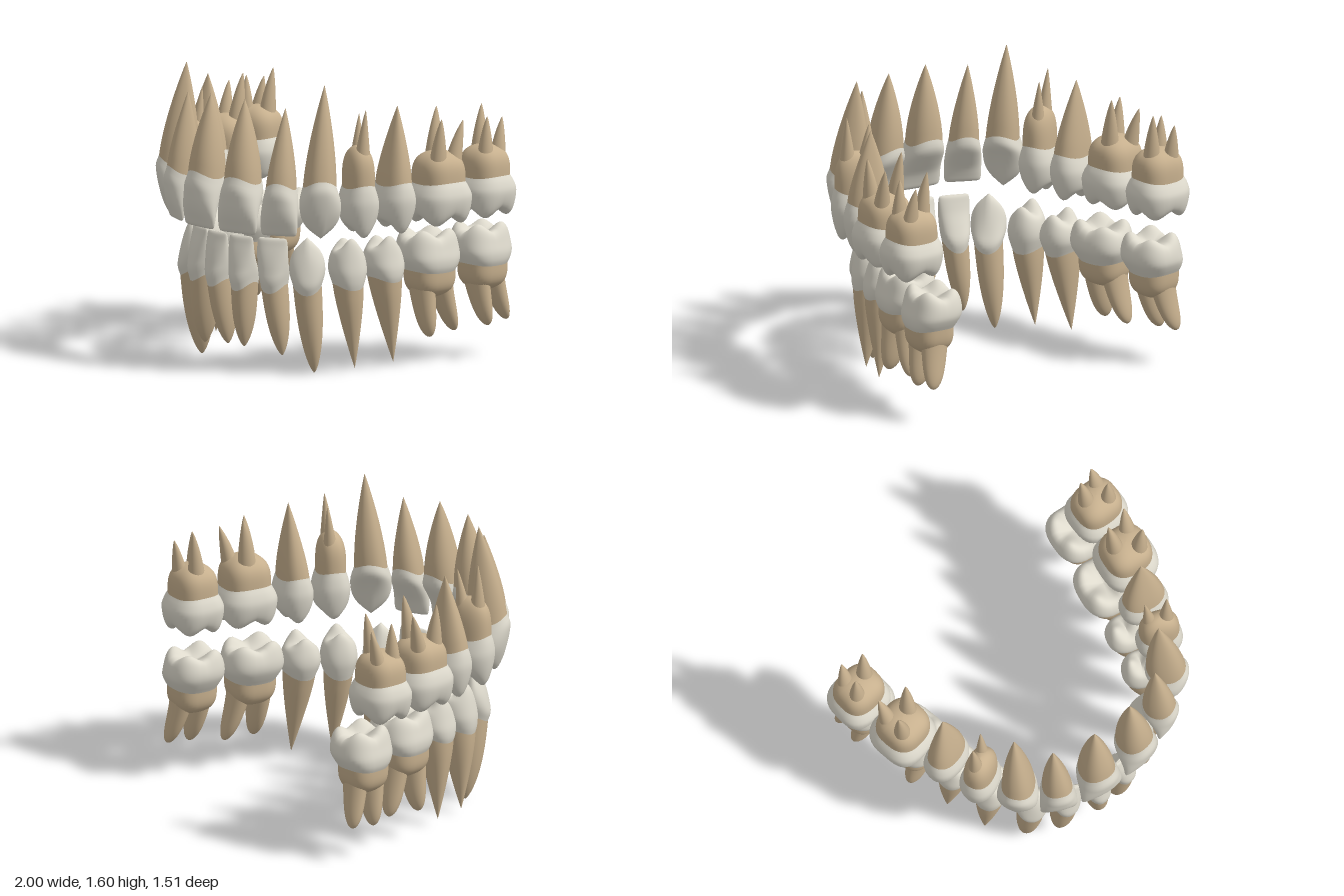
import * as THREE from 'three';

const enamel = new THREE.MeshStandardMaterial({ color: 0xdedacd });
enamel.name = 'enamel';
const dentine = new THREE.MeshStandardMaterial({ color: 0xc7b08e });
dentine.name = 'rootDentine';

const SEG = 36;
const smooth = THREE.MathUtils.smoothstep;
const lerp = THREE.MathUtils.lerp;

// Crown profiles from neck to biting surface: [height, width, depth] as fractions.
// square: cross-section exponent; cuspH: cusp height; cusp(u, v): cusp relief.
const peaks = (list, s) => (u, v) =>
  Math.max(...list.map(([a, b, k]) => k * Math.exp(-((u - a) ** 2 + (v - b) ** 2) / (s * s))));
const TYPES = {
  incisor: {
    square: 2.2, cuspH: 0, cusp: () => 0,
    rows: [[0, .8, .9], [.2, .9, 1], [.4, .96, .8], [.65, 1, .5], [.85, 1, .29], [.96, .96, .18], [1, .87, .09], [1, .4, .04], [1, 0, 0]],
  },
  canine: {
    square: 2.2, cuspH: .085, cusp: (u) => 1 - Math.abs(u),
    rows: [[0, .8, .9], [.2, .9, 1], [.4, .98, .88], [.65, 1, .62], [.85, .92, .36], [.96, .74, .2], [1, .5, .11], [1, .2, .05], [1, 0, 0]],
  },
  premolar: {
    square: 2.3, cuspH: .075, cusp: peaks([[0, .5, 1], [0, -.5, .8]], .5),
    rows: [[0, .78, .86], [.2, .9, .95], [.45, 1, 1], [.7, .97, .93], [.9, .86, .78], [.98, .7, .62], [.97, .42, .38], [.94, .2, .16], [.92, 0, 0]],
  },
  molar: {
    square: 2.7, cuspH: .06, cusp: peaks([[-.5, .52, 1], [.5, .52, .95], [-.48, -.52, .95], [.5, -.5, .85]], .4),
    rows: [[0, .8, .82], [.2, .91, .93], [.45, 1, 1], [.7, .98, .96], [.9, .89, .86], [.98, .75, .72], [.95, .5, .48], [.92, .25, .24], [.9, 0, 0]],
  },
};

// Teeth of one side. Crown: centre x/z, outward angle a (degrees), width w, depth d,
// neck and tip heights, outward shift of the biting edge as a fraction of half depth.
// Single root: apex [x, y, z] and taper. Several roots: trunk length and branches
// [apex x, y, z, start u, v, radius u, v] with start and radius as fractions.
const UPPER = [
  { name: 'upperCentralIncisor', type: 'incisor', x: .133, z: .635, a: 8, w: .25, d: .22, neck: 1.075, tip: .785, edge: .45, apex: [.125, 1.51, .61], taper: 1.8 },
  { name: 'upperLateralIncisor', type: 'incisor', x: .36, z: .575, a: 27, w: .205, d: .2, neck: 1.06, tip: .79, edge: .42, apex: [.36, 1.48, .54], taper: 1.6 },
  { name: 'upperCanine', type: 'canine', x: .52, z: .44, a: 50, w: .225, d: .24, neck: 1.075, tip: .775, edge: .25, apex: [.51, 1.605, .39], taper: 1.7 },
  { name: 'upperFirstPremolar', type: 'premolar', x: .63, z: .25, a: 68, w: .205, d: .26, neck: 1.05, tip: .765, edge: 0, trunk: .22, blunt: 1.8,
    branches: [[.685, 1.47, .25, 0, .34, .66, .5], [.58, 1.43, .19, .1, -.36, .6, .46]] },
  { name: 'upperSecondPremolar', type: 'premolar', x: .695, z: .04, a: 78, w: .205, d: .28, neck: 1.045, tip: .77, edge: 0, apex: [.7, 1.465, .015], taper: 1.5 },
  { name: 'upperFirstMolar', type: 'molar', x: .785, z: -.22, a: 82, w: .335, d: .33, neck: 1.03, tip: .795, edge: 0, trunk: .17, blunt: 2.6,
    branches: [[.86, 1.385, -.165, -.36, .36, .4, .4], [.865, 1.36, -.33, .36, .36, .38, .4], [.715, 1.425, -.28, .05, -.38, .44, .4]] },
  { name: 'upperSecondMolar', type: 'molar', x: .838, z: -.53, a: 87, w: .305, d: .325, neck: 1.03, tip: .805, edge: 0, trunk: .17, blunt: 2.6,
    branches: [[.89, 1.36, -.495, -.36, .36, .4, .4], [.88, 1.34, -.625, .36, .36, .38, .4], [.77, 1.405, -.58, .05, -.38, .44, .4]] },
];
const LOWER = [
  { name: 'lowerCentralIncisor', type: 'incisor', x: .085, z: .57, a: 6, w: .16, d: .185, neck: .475, tip: .75, edge: .3, apex: [.06, .13, .545], taper: 3 },
  { name: 'lowerLateralIncisor', type: 'incisor', x: .255, z: .515, a: 22, w: .175, d: .19, neck: .475, tip: .75, edge: .3, apex: [.285, .1, .485], taper: 3 },
  { name: 'lowerCanine', type: 'canine', x: .405, z: .415, a: 42, w: .195, d: .21, neck: .47, tip: .755, edge: .2, apex: [.415, .005, .37], taper: 2.8 },
  { name: 'lowerFirstPremolar', type: 'premolar', x: .535, z: .23, a: 66, w: .2, d: .225, neck: .48, tip: .75, edge: -.1, apex: [.575, .03, .22], taper: 1.5 },
  { name: 'lowerSecondPremolar', type: 'premolar', x: .61, z: .02, a: 78, w: .21, d: .24, neck: .505, tip: .745, edge: -.15, apex: [.655, .045, 0], taper: 1.4 },
  { name: 'lowerFirstMolar', type: 'molar', x: .685, z: -.257, a: 80, w: .335, d: .3, neck: .525, tip: .755, edge: -.15, trunk: .15, blunt: 6,
    branches: [[.735, .165, -.2, -.44, 0, .5, .78], [.735, .175, -.395, .44, 0, .48, .72]] },
  { name: 'lowerSecondMolar', type: 'molar', x: .765, z: -.592, a: 84, w: .32, d: .295, neck: .53, tip: .755, edge: -.15, trunk: .15, blunt: 6,
    branches: [[.82, .19, -.57, -.42, 0, .5, .76], [.825, .205, -.712, .44, 0, .46, .7]] },
];

// Skin of closed rings, one point(i, angle) per grid node
function skin(rows, point, flip) {
  const pos = [], index = [];
  for (let i = 0; i <= rows; i++) {
    for (let j = 0; j < SEG; j++) pos.push(...point(i, (j / SEG) * Math.PI * 2));
  }
  for (let i = 0; i < rows; i++) {
    for (let j = 0; j < SEG; j++) {
      const a = i * SEG + j, b = i * SEG + ((j + 1) % SEG), c = a + SEG, d = b + SEG;
      if (flip) index.push(a, c, b, b, c, d);
      else index.push(a, b, c, b, d, c);
    }
  }
  const g = new THREE.BufferGeometry();
  g.setAttribute('position', new THREE.Float32BufferAttribute(pos, 3));
  g.setIndex(index);
  g.computeVertexNormals();
  return g;
}

function makeTooth(t, side) {
  const group = new THREE.Group();
  group.name = (side > 0 ? 'left ' : 'right ') + t.name;
  const type = TYPES[t.type];
  const dir = Math.sign(t.tip - t.neck);
  const H = Math.abs(t.tip - t.neck), body = H - type.cuspH;
  const ang = THREE.MathUtils.degToRad(t.a), sa = Math.sin(ang), ca = Math.cos(ang);
  const hw = t.w / 2, hd = t.d / 2;
  const scallop = t.type === 'molar' ? .006 : t.type === 'premolar' ? .012 : .022;

  // u runs backwards along the arch, v outwards, h from neck to biting surface
  const place = (u, v, h) => [side * (t.x + u * ca + v * sa), t.neck + dir * h, t.z - u * sa + v * ca];
  const local = ([x, y, z]) => {
    const dx = x - t.x, dz = z - t.z;
    return [dx * ca - dz * sa, dx * sa + dz * ca, (y - t.neck) * dir];
  };
  const round = (x) => Math.sign(x) * Math.abs(x) ** (2 / type.square);
  const add = (name, geo, mat) => {
    const m = new THREE.Mesh(geo, mat);
    m.name = name;
    group.add(m);
  };

  // Crown
  const rows = new THREE.CatmullRomCurve3(type.rows.map((r) => new THREE.Vector3(...r))).getPoints(26);
  add('crown', skin(26, (i, f) => {
    const r = rows[i];
    const u = r.y * round(Math.sin(f)), v = r.z * round(Math.cos(f));
    const h = r.x * body + smooth(r.x, .4, .95) * type.cuspH * type.cusp(u, v)
      - scallop * Math.cos(2 * f) * (1 - smooth(r.x, 0, .6));
    return place(u * hw, v * hd + t.edge * hd * smooth(r.x, 0, .75), h);
  }, dir * side < 0), enamel);

  // Root or root trunk, starting from the neck ring
  const [, su, sv] = type.rows[0];
  const end = t.apex ? local(t.apex) : [0, 0, -t.trunk];
  const N = 14;
  add(t.apex ? 'root' : 'rootTrunk', skin(N, (i, f) => {
    const k = i === N ? 1 : Math.sin((i / N) * Math.PI / 2);
    const s = t.apex ? (1 - k ** t.taper) ** (t.taper > 2 ? .7 : .95) * (1 - .15 * k) : (1 - k ** 3.5) ** .5;
    return place(
      end[0] * k + s * su * hw * round(Math.sin(f)),
      end[1] * k + s * sv * hd * round(Math.cos(f)),
      end[2] * k - scallop * Math.cos(2 * f) * (1 - k));
  }, dir * side > 0), dentine);

  // Separate roots growing out of the trunk
  for (const [ax, ay, az, bu, bv, ru, rv] of t.branches ?? []) {
    const tip = local([ax, ay, az]);
    add('rootBranch', skin(N, (i, f) => {
      const k = i === N ? 1 : Math.sin((i / N) * Math.PI / 2);
      const s = (1 - .35 * k) * (1 - k ** t.blunt) ** (t.blunt > 4 ? .5 : .8);
      const bend = k * (.6 + .4 * k);
      return place(
        lerp(bu * su * hw, tip[0], bend) + s * ru * su * hw * Math.sin(f),
        lerp(bv * sv * hd, tip[1], bend) + s * rv * sv * hd * Math.cos(f),
        lerp(-.025, tip[2], k));
    }, dir * side > 0), dentine);
  }
  return group;
}

export function createModel() {
  const model = new THREE.Group();
  model.name = 'teeth';
  for (const [name, list] of [['upperArch', UPPER], ['lowerArch', LOWER]]) {
    const arch = new THREE.Group();
    arch.name = name;
    for (const t of list) for (const side of [1, -1]) arch.add(makeTooth(t, side));
    model.add(arch);
  }
  return model;
}
